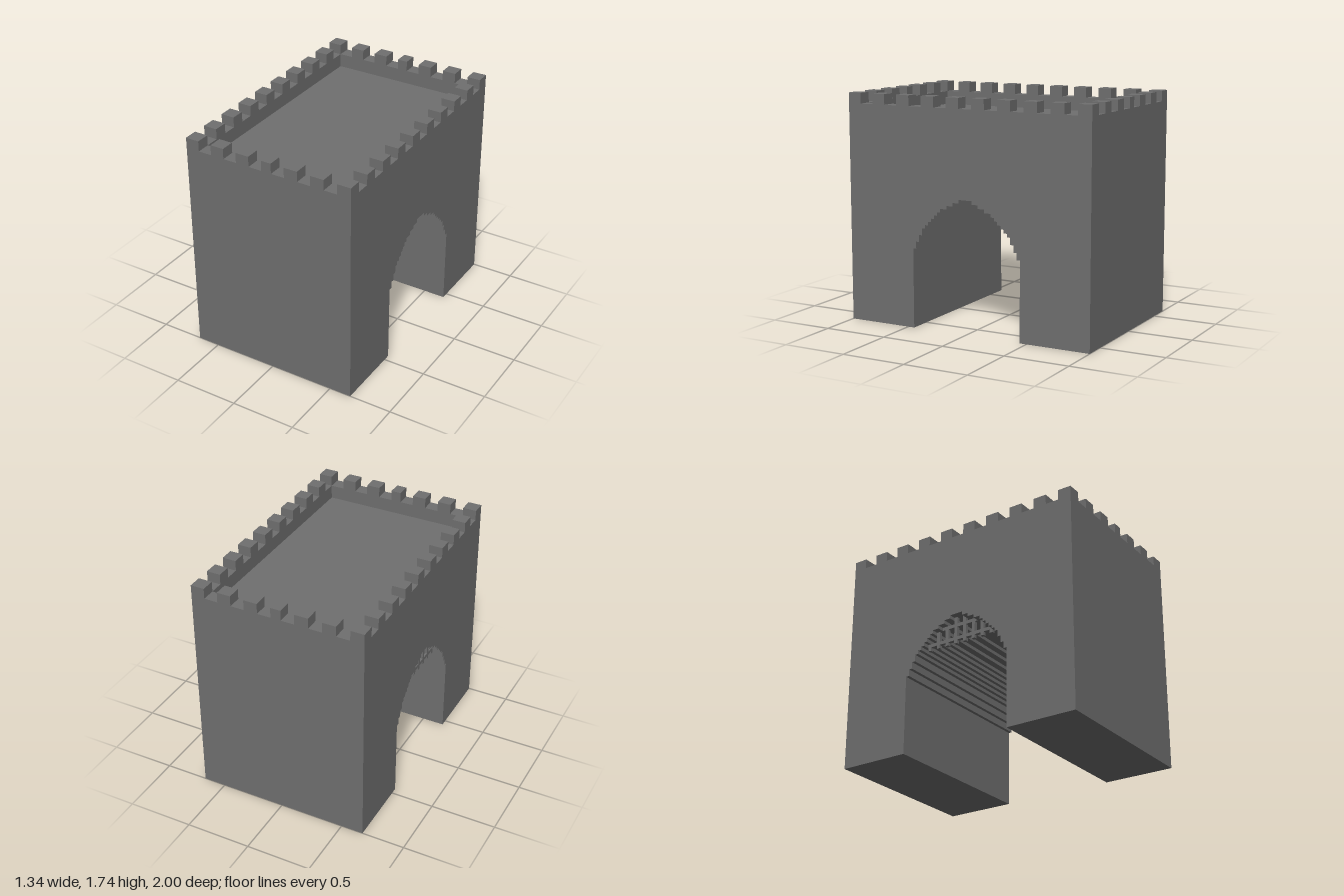
import * as THREE from 'three';

const U = 1 / 38;               // one block
const W = 51, D = 76;           // footprint in blocks (x, z)
const ROOF = 59, PARAPET = 63, TOP = 66, WALL = 4;

export function createModel() {
  const model = new THREE.Group();
  model.name = 'gatehouse';
  const stone = new THREE.MeshStandardMaterial({ color: 0x6f6f6f });
  stone.name = 'grey stone';

  const add = (parent, name, geometry) => {
    const mesh = new THREE.Mesh(geometry, stone);
    mesh.name = name;
    parent.add(mesh);
    return mesh;
  };
  // Box from block-unit bounds
  const block = (parent, name, x0, x1, y0, y1, z0, z1) => {
    const mesh = add(parent, name, new THREE.BoxGeometry((x1 - x0) * U, (y1 - y0) * U, (z1 - z0) * U));
    mesh.position.set((x0 + x1) / 2 * U, (y0 + y1) / 2 * U, (z0 + z1) / 2 * U);
  };
  const group = (name) => {
    const g = new THREE.Group();
    g.name = name;
    model.add(g);
    return g;
  };

  // Stepped arch: [half width, top row] from the springing to the crown
  const steps = [[17, 23], [16, 25], [15, 27], [14, 29], [13, 30], [12, 31], [11, 32],
    [10, 33], [9, 34], [8, 35], [6, 36], [4, 37], [2, 38]];
  const half = [];
  let floor = 0;
  for (const [w, y] of steps) {
    half.push([w, floor], [w, y]);
    floor = y;
  }
  const arch = [...half, ...half.map(([w, y]) => [-w, y]).reverse()];
  const outline = [[D / 2, 0], [D / 2, ROOF], [-D / 2, ROOF], [-D / 2, 0], ...arch.slice().reverse()];

  // Main block with the passage cut through it along x
  const bodyShape = new THREE.Shape(outline.map(([z, y]) => new THREE.Vector2(z * U, y * U)));
  const body = new THREE.ExtrudeGeometry(bodyShape, { depth: W * U, bevelEnabled: false });
  body.translate(0, 0, -W * U / 2).rotateY(Math.PI / 2);
  add(model, 'archedBody', body);

  // Parapet ring around the sunken roof
  const rect = (path, a, b) => path.moveTo(-a * U, -b * U).lineTo(a * U, -b * U)
    .lineTo(a * U, b * U).lineTo(-a * U, b * U).closePath();
  const ring = rect(new THREE.Shape(), W / 2, D / 2);
  ring.holes.push(rect(new THREE.Path(), W / 2 - WALL, D / 2 - WALL));
  const parapet = new THREE.ExtrudeGeometry(ring, { depth: (PARAPET - ROOF) * U, bevelEnabled: false });
  parapet.rotateX(-Math.PI / 2).translate(0, ROOF * U, 0);
  add(model, 'parapet', parapet);

  // Merlons: ten along each long side, five more between the corners of each short side
  const merlons = group('battlements');
  for (const s of [-1, 1]) {
    const x = s < 0 ? -W / 2 : W / 2 - WALL;
    for (let i = 0; i < 10; i++) {
      const z = -D / 2 + i * 8;
      block(merlons, 'sideMerlon', x, x + WALL, PARAPET, TOP, z, z + 4);
    }
    const z = s < 0 ? -D / 2 : D / 2 - WALL;
    for (const [a, b] of [[8, 12], [16, 20], [24, 27], [31, 35], [39, 43]]) {
      block(merlons, 'endMerlon', a - W / 2, b - W / 2, PARAPET, TOP, z, z + WALL);
    }
  }

  // Raised portcullis just inside the -x opening
  const gate = group('portcullis');
  const gx = -W / 2 + 2;
  for (const [k, top] of [[1, 38], [4, 37], [7, 35], [10, 32]]) {
    block(gate, 'uprightBar', gx, gx + 1, 30, top, k, k + 1);
    block(gate, 'uprightBar', gx, gx + 1, 30, top, -k - 1, -k);
  }
  for (const [y, w] of [[31, 11], [35, 6]]) block(gate, 'crossBar', gx, gx + 1, y, y + 1, -w, w);

  return model;
}
